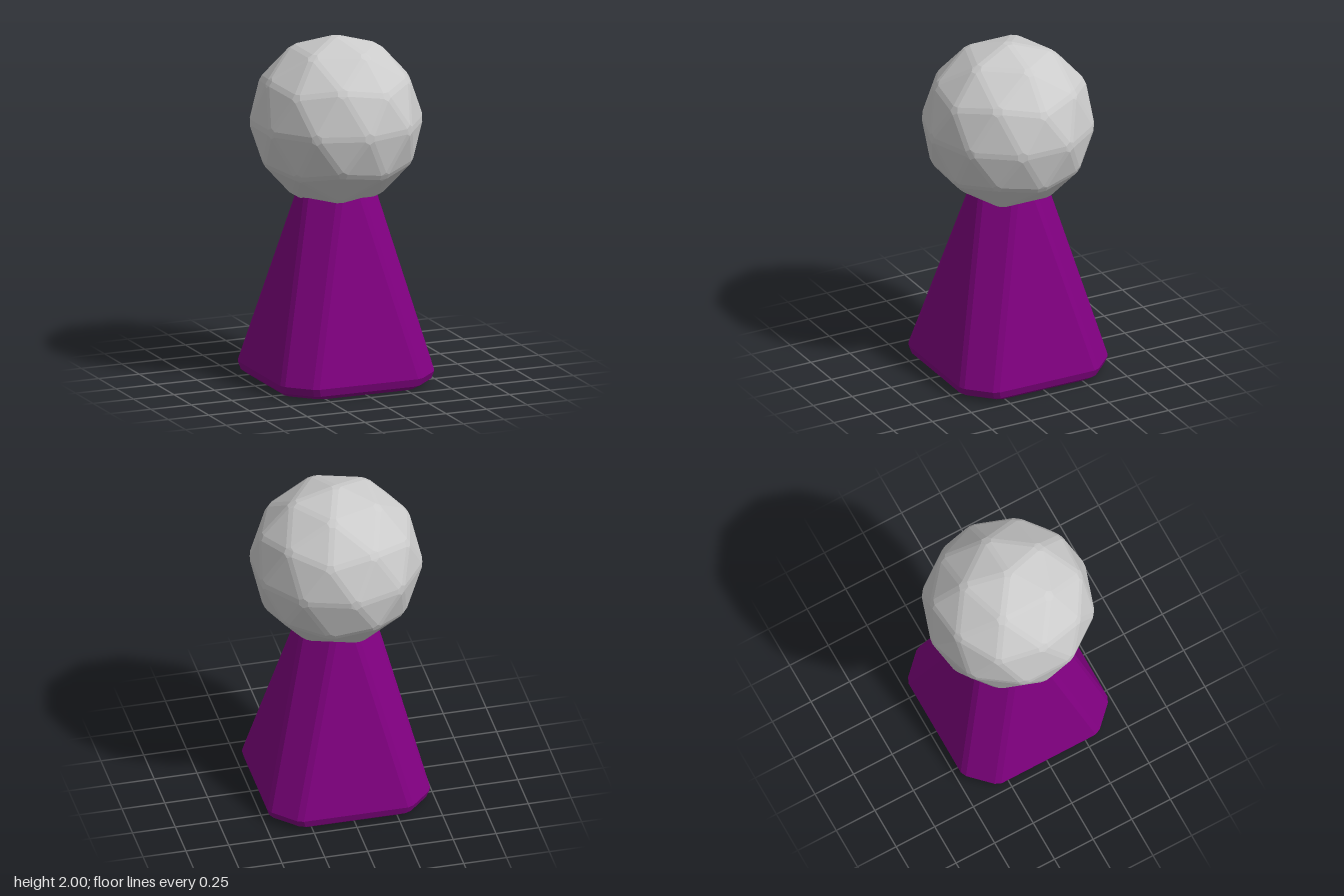
import * as THREE from 'three';
import { ConvexGeometry } from 'three/addons/geometries/ConvexGeometry.js';

// Icosphere with bevelled edges: hull of all its faces, each shrunk a little
function bevelledIcosphere(radius, shrink) {
  const ico = new THREE.IcosahedronGeometry(radius, 1);
  const phi = (1 + Math.sqrt(5)) / 2;
  ico.rotateZ(-Math.atan(1 / phi)); // one vertex points straight up
  const pos = ico.attributes.position;
  const points = [];
  for (let i = 0; i < pos.count; i += 3) {
    const tri = [0, 1, 2].map((k) => new THREE.Vector3().fromBufferAttribute(pos, i + k));
    const centre = new THREE.Vector3().add(tri[0]).add(tri[1]).add(tri[2]).divideScalar(3);
    tri.forEach((p) => points.push(p.lerp(centre, shrink)));
  }
  return new ConvexGeometry(points);
}

// Square cross-section with softened, chamfered corners
function chamferedSquare(half, y) {
  const corner = [[half, half - 0.17], [half - 0.015, half - 0.135]];
  const points = [];
  for (const [a, b] of corner) {
    for (const sx of [-1, 1]) {
      for (const sz of [-1, 1]) {
        points.push(new THREE.Vector3(sx * a, y, sz * b), new THREE.Vector3(sx * b, y, sz * a));
      }
    }
  }
  return points;
}

export function createModel() {
  const group = new THREE.Group();
  group.name = 'gamePawn';

  // Tapered body with a rounded lower rim; its top ends inside the head
  const sections = [[0.43, 0], [0.462, 0.025], [0.475, 0.07], [0.196, 1.2]];
  const body = new THREE.Mesh(
    new ConvexGeometry(sections.flatMap(([half, y]) => chamferedSquare(half, y))),
    new THREE.MeshStandardMaterial({ color: 0x800080, flatShading: true })
  );
  body.name = 'body';
  group.add(body);

  // Faceted ball head
  const head = new THREE.Mesh(
    bevelledIcosphere(0.5, 0.2),
    new THREE.MeshStandardMaterial({ color: 0xcccccc, flatShading: true })
  );
  head.name = 'head';
  head.position.y = 1.51;
  group.add(head);

  return group;
}
